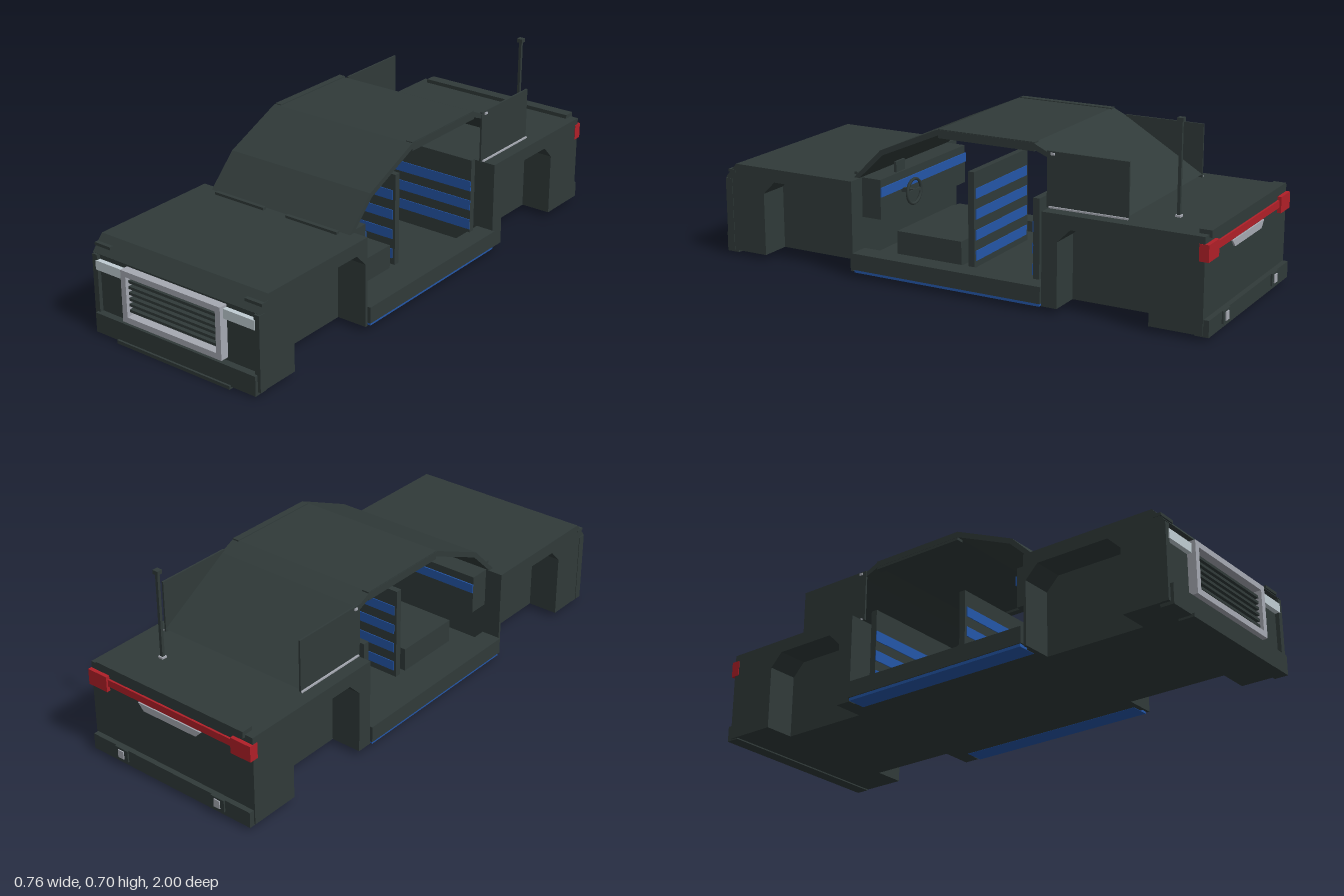
import * as THREE from 'three';

export function createModel() {
  const car = new THREE.Group();
  const mat = (name, color) => {
    const m = new THREE.MeshStandardMaterial({ color });
    m.name = name;
    return m;
  };
  const body = mat('dark body', 0x303a39);
  const silver = mat('silver trim', 0xa6a9b2);
  const lamp = mat('pale headlight', 0xc0ccd2);
  const blue = mat('blue trim', 0x2456a8);
  const red = mat('red tail light', 0xb01f28);

  const add = (name, geometry, material) => {
    const mesh = new THREE.Mesh(geometry, material);
    mesh.name = name;
    car.add(mesh);
    return mesh;
  };
  // box given by its limits on each axis
  const box = (name, m, x0, x1, y0, y1, z0, z1) =>
    add(name, new THREE.BoxGeometry(x1 - x0, y1 - y0, z1 - z0), m)
      .position.set((x0 + x1) / 2, (y0 + y1) / 2, (z0 + z1) / 2);
  // the same box on both sides of the car
  const pair = (name, m, x0, x1, ...rest) => {
    box(name + 'Left', m, x0, x1, ...rest);
    box(name + 'Right', m, -x1, -x0, ...rest);
  };
  // side profile of [z, y] points extruded from x0 to x1
  const profile = (name, m, pts, x0, x1) => {
    const shape = new THREE.Shape(pts.map(([z, y]) => new THREE.Vector2(z, y)));
    const g = new THREE.ExtrudeGeometry(shape, { depth: x1 - x0, bevelEnabled: false });
    g.rotateY(-Math.PI / 2).translate(x1, 0, 0);
    return add(name, g, m);
  };

  // front and rear body blocks, with fenders cut by chamfered wheel wells
  const well = (a, b) => [[a, 0.02], [a, 0.26], [a + 0.05, 0.31], [b - 0.05, 0.31], [b, 0.26], [b, 0.02]];
  const nose = [[0.965, 0.02], [0.965, 0.295], [0.978, 0.305], [0.93, 0.36], [0.41, 0.36]];
  const tail = [[-0.37, 0.36], [-0.97, 0.36], [-0.97, 0.02]];
  profile('frontBody', body, [[0.41, 0.02], ...nose], -0.25, 0.25);
  profile('rearBody', body, [[-0.37, 0.02], ...tail], -0.25, 0.25);
  for (const [x0, x1] of [[0.25, 0.37], [-0.37, -0.25]]) {
    profile('frontFender', body, [[0.41, 0.02], ...well(0.42, 0.805), ...nose], x0, x1);
    profile('rearFender', body, [...tail, ...well(-0.775, -0.43), [-0.37, 0.02]], x0, x1);
  }
  pair('frontEdge', body, 0.35, 0.372, 0.02, 0.3, 0.95, 0.98);
  pair('fenderMark', body, 0.3, 0.372, 0.326, 0.337, 0.935, 0.965);
  pair('hoodVent', body, 0.05, 0.275, 0.36, 0.37, 0.445, 0.46);

  // cabin floor and sills
  box('cabinFloor', body, -0.34, 0.34, 0.02, 0.05, -0.37, 0.41);
  pair('sill', body, 0.3, 0.38, 0.03, 0.092, -0.37, 0.405);
  pair('sillStripe', blue, 0.3, 0.376, 0.019, 0.03, -0.365, 0.4);

  // nose: grille, headlights, bumper
  const frame = new THREE.Shape();
  frame.moveTo(-0.222, 0.095).lineTo(0.222, 0.095).lineTo(0.222, 0.29).lineTo(-0.222, 0.29);
  const hole = new THREE.Path();
  hole.moveTo(-0.2, 0.117).lineTo(-0.2, 0.269).lineTo(0.2, 0.269).lineTo(0.2, 0.117);
  frame.holes.push(hole);
  add('grilleFrame', new THREE.ExtrudeGeometry(frame, { depth: 0.035, bevelEnabled: false })
    .translate(0, 0, 0.963), silver);
  for (let i = 0; i < 6; i++) {
    const y = 0.132 + i * 0.022;
    box('grilleSlat', body, -0.2, 0.2, y, y + 0.01, 0.965, 0.985);
  }
  pair('headlight', lamp, 0.222, 0.355, 0.245, 0.28, 0.964, 0.983);
  box('frontBumper', body, -0.36, 0.36, 0.008, 0.082, 0.94, 0.992);
  box('frontSplitter', body, -0.255, 0.255, 0, 0.013, 0.94, 1);

  // tail: lights, plate, lip, bumper
  pair('tailLight', red, 0.285, 0.372, 0.275, 0.335, -0.985, -0.95);
  box('tailLightBar', red, -0.29, 0.29, 0.295, 0.322, -0.978, -0.96);
  const plate = new THREE.Shape();
  plate.moveTo(-0.12, 0.262).lineTo(0.12, 0.262).lineTo(0.145, 0.288).lineTo(-0.145, 0.288);
  add('tailPlate', new THREE.ExtrudeGeometry(plate, { depth: 0.008, bevelEnabled: false })
    .translate(0, 0, -0.976), silver);
  box('rearLip', body, -0.337, 0.337, 0.35, 0.375, -0.98, -0.935);
  box('rearBumper', body, -0.365, 0.365, 0.015, 0.075, -0.99, -0.94);
  pair('bumperBlock', body, 0.195, 0.255, 0.03, 0.075, -0.996, -0.98);
  pair('bumperReflector', silver, 0.212, 0.238, 0.037, 0.068, -1, -0.994);

  // windshield, roof and rear window as one folded sheet
  const roofLine = [[0.435, 0.36], [0.32, 0.475], [0.08, 0.58], [-0.305, 0.58], [-0.37, 0.55], [-0.67, 0.372]];
  const under = [[-0.65, 0.36], [-0.37, 0.532], [-0.3, 0.56], [0.075, 0.56], [0.31, 0.458], [0.412, 0.36]];
  profile('windshieldAndRoof', body, [...roofLine, ...under], -0.313, 0.313);
  pair('roofRail', body, 0.285, 0.312, 0.55, 0.583, -0.31, 0.075);
  pair('rearSidePanel', body, 0.308, 0.315, 0.36, 0.56, -0.67, -0.36);
  pair('panelBaseTrim', silver, 0.315, 0.321, 0.36, 0.366, -0.67, -0.37);
  pair('panelClip', silver, 0.313, 0.32, 0.547, 0.555, -0.39, -0.375);

  // dashboard and steering
  box('dashboard', body, -0.3, 0.3, 0.21, 0.36, 0.33, 0.42);
  box('dashStripe', blue, -0.3, 0.3, 0.295, 0.33, 0.325, 0.33);
  box('dashGauge', body, 0.12, 0.18, 0.35, 0.4, 0.338, 0.348);
  add('steeringWheel', new THREE.TorusGeometry(0.047, 0.006, 6, 16), body).position.set(0.15, 0.29, 0.28);
  box('steeringSpoke', body, 0.105, 0.195, 0.284, 0.296, 0.277, 0.283);
  box('steeringColumn', body, 0.142, 0.158, 0.282, 0.298, 0.28, 0.335);

  // seats with blue bands
  box('frontSeatCushion', body, -0.2, 0.2, 0.05, 0.142, 0.05, 0.325);
  box('frontSeatBack', body, -0.2, 0.2, 0.05, 0.41, -0.005, 0.02);
  box('rearSeatBack', body, -0.31, 0.31, 0.05, 0.385, -0.33, -0.305);
  for (let i = 0; i < 4; i++) {
    const y = 0.075 + i * 0.078;
    box('frontSeatBand', blue, -0.19, 0.19, y, y + 0.038, -0.008, 0.023);
    if (i < 3) box('rearSeatBand', blue, -0.31, 0.31, y + 0.03, y + 0.07, -0.306, -0.302);
  }

  // antenna
  box('antennaMast', body, 0.191, 0.202, 0.36, 0.69, -0.806, -0.795);
  box('antennaTip', body, 0.185, 0.208, 0.688, 0.703, -0.811, -0.789);
  box('antennaBase', silver, 0.186, 0.207, 0.36, 0.367, -0.811, -0.79);

  return car;
}
